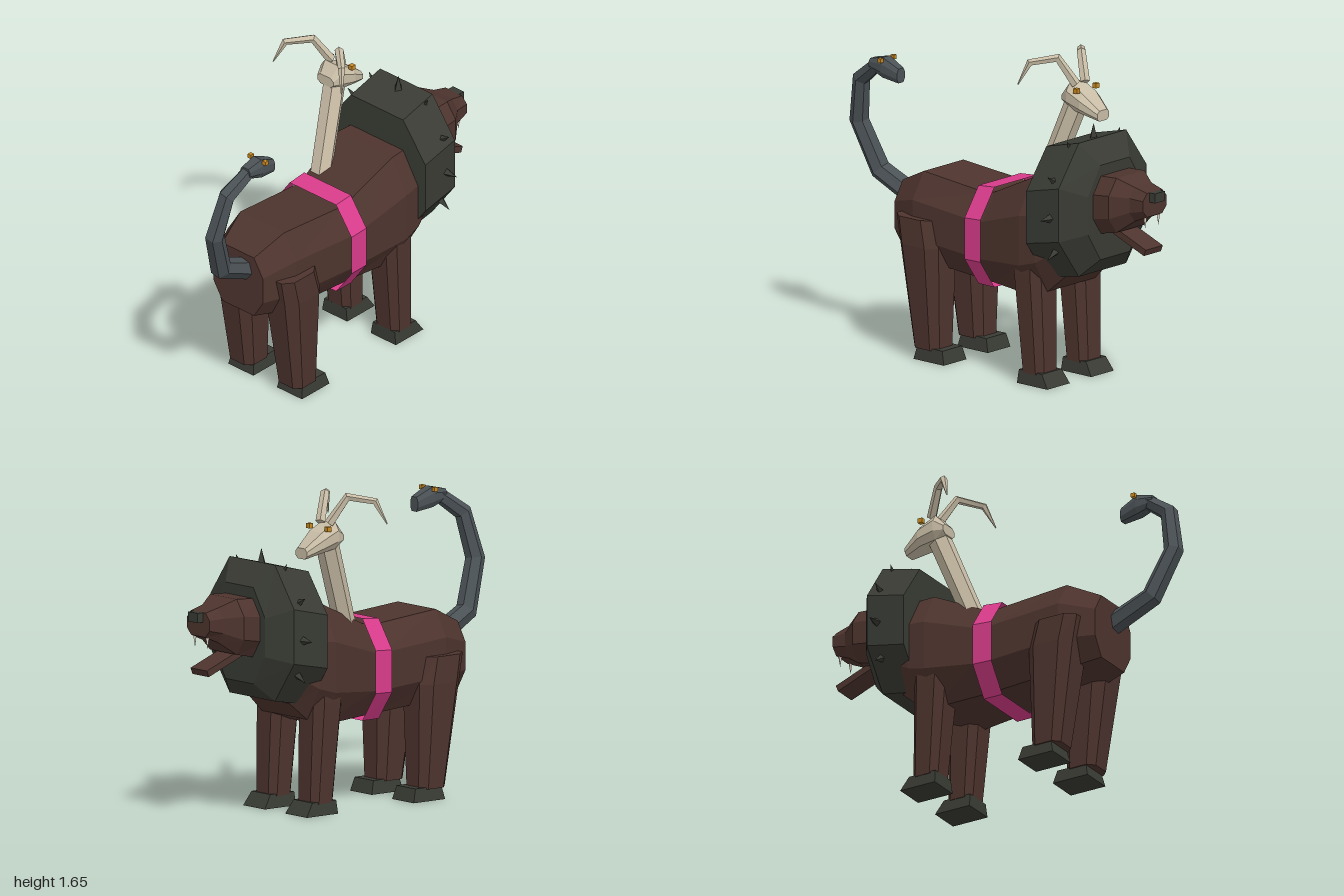
import * as THREE from 'three';

const mat = (name, color) => {
  const m = new THREE.MeshStandardMaterial({ color });
  m.name = name;
  return m;
};
const V = (x, y, z) => new THREE.Vector3(x, y, z);

// Faceted skin over a list of equal-length rings, always facing outward
function loft(rings, caps = true) {
  const pos = [];
  const tri = (a, b, c) => pos.push(...a.toArray(), ...b.toArray(), ...c.toArray());
  const n = rings[0].length;
  for (let i = 0; i < rings.length - 1; i++) {
    const A = rings[i], B = rings[i + 1];
    for (let j = 0; j < n; j++) {
      const k = (j + 1) % n;
      tri(A[j], A[k], B[k]);
      tri(A[j], B[k], B[j]);
    }
  }
  if (caps) {
    const A = rings[0], B = rings[rings.length - 1];
    for (let j = 1; j < n - 1; j++) {
      tri(A[0], A[j + 1], A[j]);
      tri(B[0], B[j], B[j + 1]);
    }
  }
  // Signed volume tells whether the winding must be flipped
  let volume = 0;
  const p = i => V(pos[i], pos[i + 1], pos[i + 2]).sub(rings[0][0]);
  for (let i = 0; i < pos.length; i += 9) volume += p(i).dot(p(i + 3).cross(p(i + 6)));
  if (volume < 0) {
    for (let i = 0; i < pos.length; i += 9) {
      for (let k = 0; k < 3; k++) [pos[i + 3 + k], pos[i + 6 + k]] = [pos[i + 6 + k], pos[i + 3 + k]];
    }
  }
  const g = new THREE.BufferGeometry();
  g.setAttribute('position', new THREE.Float32BufferAttribute(pos, 3));
  g.computeVertexNormals();
  return g;
}

// Rectangle with cut corners (a, b are half sizes; ca, cb the cut fractions)
function cutRect(a, b, ca, cb) {
  if (!ca) return [[a, -b], [a, b], [-a, b], [-a, -b]];
  const p = a * (1 - ca), q = b * (1 - cb);
  return [[a, -q], [a, q], [p, b], [-p, b], [-a, q], [-a, -q], [-p, -b], [p, -b]];
}

// Sections along z: [z, bottom, top, halfWidth]
const alongZ = (rows, cx = 0, ca = 0.36, cb = 0.58, caps = true) =>
  loft(rows.map(([z, lo, hi, w]) =>
    cutRect(w, (hi - lo) / 2, ca, cb).map(([x, y]) => V(cx + x, (lo + hi) / 2 + y, z))), caps);

// Sections along y: [y, cx, cz, halfX, halfZ]
const alongY = (rows, cut) =>
  loft(rows.map(([y, cx, cz, hx, hz]) =>
    cutRect(hx, hz, cut, cut).map(([x, z]) => V(cx + x, y, cz + z))));

// Tapered tube through corner points, with one radius per point
function sweep(points, radii, sides = 6) {
  const P = points.map(a => V(...a)), last = P.length - 1;
  const ref = P[1].clone().sub(P[0]).cross(P[last].clone().sub(P[0]));
  if (ref.length() < 1e-6) ref.set(1, 0, 0);
  return loft(P.map((c, i) => {
    const t = V(0, 0, 0);
    if (i > 0) t.add(c.clone().sub(P[i - 1]).normalize());
    if (i < last) t.add(P[i + 1].clone().sub(c).normalize());
    t.normalize();
    const u = ref.clone().cross(t).normalize(), v = t.clone().cross(u);
    return Array.from({ length: sides }, (_, k) => {
      const a = ((k + 0.5) / sides) * Math.PI * 2;
      return c.clone().addScaledVector(u, Math.cos(a) * radii[i]).addScaledVector(v, Math.sin(a) * radii[i]);
    });
  }));
}

const faceted = g => {
  const f = g.toNonIndexed();
  f.computeVertexNormals();
  return f;
};

export function createModel() {
  const brown = mat('brown fur', 0x4e342e);
  const dark = mat('dark mane', 0x393b34);
  const bone = mat('pale hide', 0xc9bda6);
  const slate = mat('slate scales', 0x4b5256);
  const pink = mat('pink strap', 0xd93c8b);
  const gold = mat('gold eyes', 0xc98a22);
  const ivory = mat('ivory teeth', 0xe4dccb);
  pink.side = THREE.DoubleSide;

  const model = new THREE.Group();
  model.name = 'threeHeadedBeast';
  const beast = new THREE.Group();
  beast.name = 'beast';
  beast.position.x = 0.008;
  model.add(beast);
  const add = (name, geometry, material, x = 0, y = 0, z = 0) => {
    const m = new THREE.Mesh(geometry, material);
    m.name = name;
    m.position.set(x, y, z);
    beast.add(m);
    return m;
  };

  // Body and strap
  add('body', alongZ([
    [0.65, 0.53, 0.875, 0.17], [0.47, 0.495, 0.96, 0.235], [0.05, 0.468, 0.925, 0.245],
    [-0.02, 0.465, 0.94, 0.25], [-0.3, 0.45, 1.07, 0.29], [-0.4, 0.49, 1.07, 0.28], [-0.5, 0.58, 1.06, 0.25],
  ]), brown);
  add('strap', alongZ([[0.09, 0.44, 0.955, 0.265], [-0.02, 0.44, 0.965, 0.267]], 0, 0.4, 0.58, false), pink);

  // Mane with a fan of spikes
  add('mane', alongZ([
    [-0.39, 0.565, 1.25, 0.333], [-0.61, 0.605, 1.305, 0.333], [-0.695, 0.695, 1.19, 0.205],
  ], 0, 0.46, 0.6), dark);
  for (let i = -1; i <= 7; i++) {
    const a = (i * Math.PI) / 6, r = 0.375;
    const spike = add('maneSpike', faceted(new THREE.ConeGeometry(0.038, 0.12, 4)), dark,
      Math.cos(a) * r * 0.92, 0.93 + Math.sin(a) * r, -0.55);
    spike.rotation.z = a - Math.PI / 2;
  }

  // Main head
  add('head', alongZ([
    [-0.64, 0.82, 1.13, 0.165], [-0.8, 0.855, 1.14, 0.165], [-0.885, 0.92, 1.1, 0.1], [-0.965, 0.955, 1.08, 0.09],
  ]), brown);
  add('nose', faceted(new THREE.BoxGeometry(0.075, 0.05, 0.04)), dark, 0, 1.055, -0.98);
  add('jaw', faceted(new THREE.BoxGeometry(0.13, 0.035, 0.28)), brown, 0, 0.818, -0.825).rotation.x = -0.37;
  for (const s of [-1, 1]) {
    add('fang', faceted(new THREE.ConeGeometry(0.013, 0.07, 4)), ivory, s * 0.05, 0.925, -0.945).rotation.x = Math.PI;
  }

  // Legs and feet
  for (const s of [-1, 1]) {
    add('hindLeg', alongY([
      [0.74, s * 0.175, 0.455, 0.1, 0.125], [0.6, s * 0.167, 0.425, 0.115, 0.13], [0.06, s * 0.167, 0.39, 0.083, 0.085],
    ], 0.42), brown);
    add('hindFoot', alongY([[0, s * 0.167, 0.345, 0.086, 0.103], [0.07, s * 0.167, 0.347, 0.075, 0.085]], 0), dark);
    add('frontLeg', alongY([
      [0.74, s * 0.167, -0.3, 0.1, 0.095], [0.58, s * 0.167, -0.302, 0.1, 0.092], [0.06, s * 0.167, -0.333, 0.08, 0.073],
    ], 0.42), brown);
    add('frontFoot', alongY([[0, s * 0.167, -0.358, 0.086, 0.103], [0.07, s * 0.167, -0.337, 0.075, 0.078]], 0), dark);
  }

  // Horned head on a slender neck
  const gx = -0.19;
  add('hornedNeck', sweep([[-0.118, 0.9, -0.09], [-0.185, 1.41, -0.28]], [0.057, 0.06]), bone);
  add('hornedHead', alongZ([
    [-0.21, 1.385, 1.44, 0.055], [-0.26, 1.36, 1.495, 0.075], [-0.35, 1.345, 1.45, 0.078], [-0.445, 1.32, 1.375, 0.045],
  ], gx), bone);
  for (const s of [-1, 1]) {
    add('horn', sweep([
      [gx + s * 0.035, 1.49, -0.29], [gx + s * 0.09, 1.625, -0.215], [gx + s * 0.195, 1.605, -0.12], [gx + s * 0.235, 1.49, -0.075],
    ], [0.026, 0.023, 0.019, 0.003], 5), bone);
    add('hornedHeadEye', faceted(new THREE.BoxGeometry(0.025, 0.025, 0.025)), gold, gx + s * 0.073, 1.47, -0.33);
  }

  // Serpent tail with its own head
  const sx = 0.178;
  add('serpentTail', sweep([
    [0.03, 0.75, 0.58], [0.06, 0.885, 0.845], [0.11, 1.14, 0.945], [0.148, 1.375, 0.895], [sx, 1.475, 0.76],
  ], [0.058, 0.056, 0.051, 0.046, 0.038]), slate);
  add('serpentHead', alongZ([
    [0.79, 1.45, 1.505, 0.033], [0.7, 1.42, 1.525, 0.044], [0.6, 1.405, 1.48, 0.03],
  ], sx), slate);
  for (const s of [-1, 1]) {
    add('serpentEye', faceted(new THREE.BoxGeometry(0.022, 0.022, 0.022)), gold, sx + s * 0.05, 1.515, 0.695);
  }
  return model;
}
